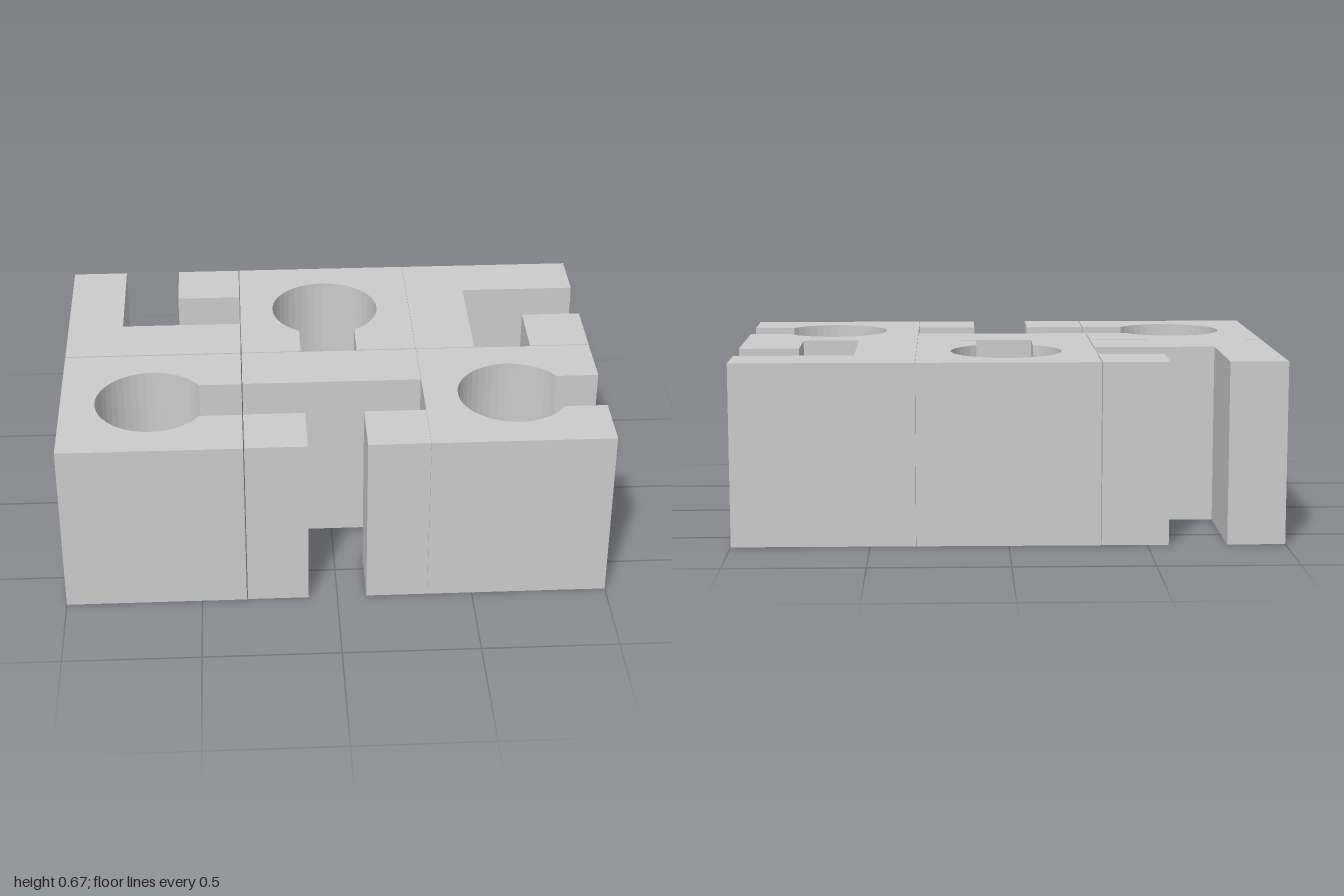
import * as THREE from 'three';

const HALF = 0.3325;   // half width of a square tile
const HEIGHT = 0.666;
const SLOT = 0.107;    // half width of a channel
const RADIUS = 0.206;  // round pocket

const material = new THREE.MeshStandardMaterial({ color: 0xcccccc, flatShading: true });

// Outlines are given as [x, z] seen from above; z is flipped for the shape plane.
const outline = (points) => new THREE.Shape(points.map(([x, z]) => new THREE.Vector2(x, -z)));

// Round through-hole with a channel leaving toward +x
function keyholeShapes() {
  const a = Math.asin(SLOT / RADIUS), n = 36;
  const points = [[HALF, -HALF], [-HALF, -HALF], [-HALF, HALF], [HALF, HALF], [HALF, SLOT]];
  for (let i = 0; i <= n; i++) {
    const t = a + (i / n) * (2 * Math.PI - 2 * a);
    points.push([RADIUS * Math.cos(t), RADIUS * Math.sin(t)]);
  }
  points.push([HALF, -SLOT]);
  return [outline(points)];
}

const rect = (x0, z0, x1, z1) => outline([[x0, z0], [x0, z1], [x1, z1], [x1, z0]]);

// Channel turning from -z to +x: an L-shaped wall and a corner block
function elbowShapes() {
  const west = -0.122, east = 0.09;
  return [
    outline([[-HALF, -HALF], [-HALF, HALF], [HALF, HALF], [HALF, SLOT], [west, SLOT], [west, -HALF]]),
    rect(east, -HALF, HALF, -SLOT),
  ];
}

// Channel along x with a branch toward +z: one long wall and two corner blocks
function teeShapes() {
  return [
    rect(-HALF, -HALF, HALF, -SLOT),
    rect(-HALF, SLOT, -SLOT, HALF),
    rect(SLOT, SLOT, HALF, HALF),
  ];
}

function makeTile(name, shapes, x, z, turn = 0) {
  const geometry = new THREE.ExtrudeGeometry(shapes, { depth: HEIGHT, bevelEnabled: false });
  geometry.rotateX(-Math.PI / 2);
  const tile = new THREE.Mesh(geometry, material);
  tile.name = name;
  tile.rotation.y = turn;
  tile.position.set(x, 0, z);
  return tile;
}

export function createModel() {
  const group = new THREE.Group();
  group.name = 'channelTiles';
  const quarter = -Math.PI / 2;
  group.add(
    // back row
    makeTile('backRightElbowTile', elbowShapes(), -0.6675, -0.3345),
    makeTile('backMiddleKeyholeTile', keyholeShapes(), 0.001, -0.3355, quarter),
    makeTile('backLeftElbowTile', elbowShapes(), 0.667, -0.3345, quarter),
    // front row
    makeTile('frontRightKeyholeTile', keyholeShapes(), -0.6675, 0.3365),
    makeTile('frontMiddleTeeTile', teeShapes(), 0.001, 0.3345),
    makeTile('frontLeftKeyholeTile', keyholeShapes(), 0.667, 0.3345),
  );
  return group;
}
